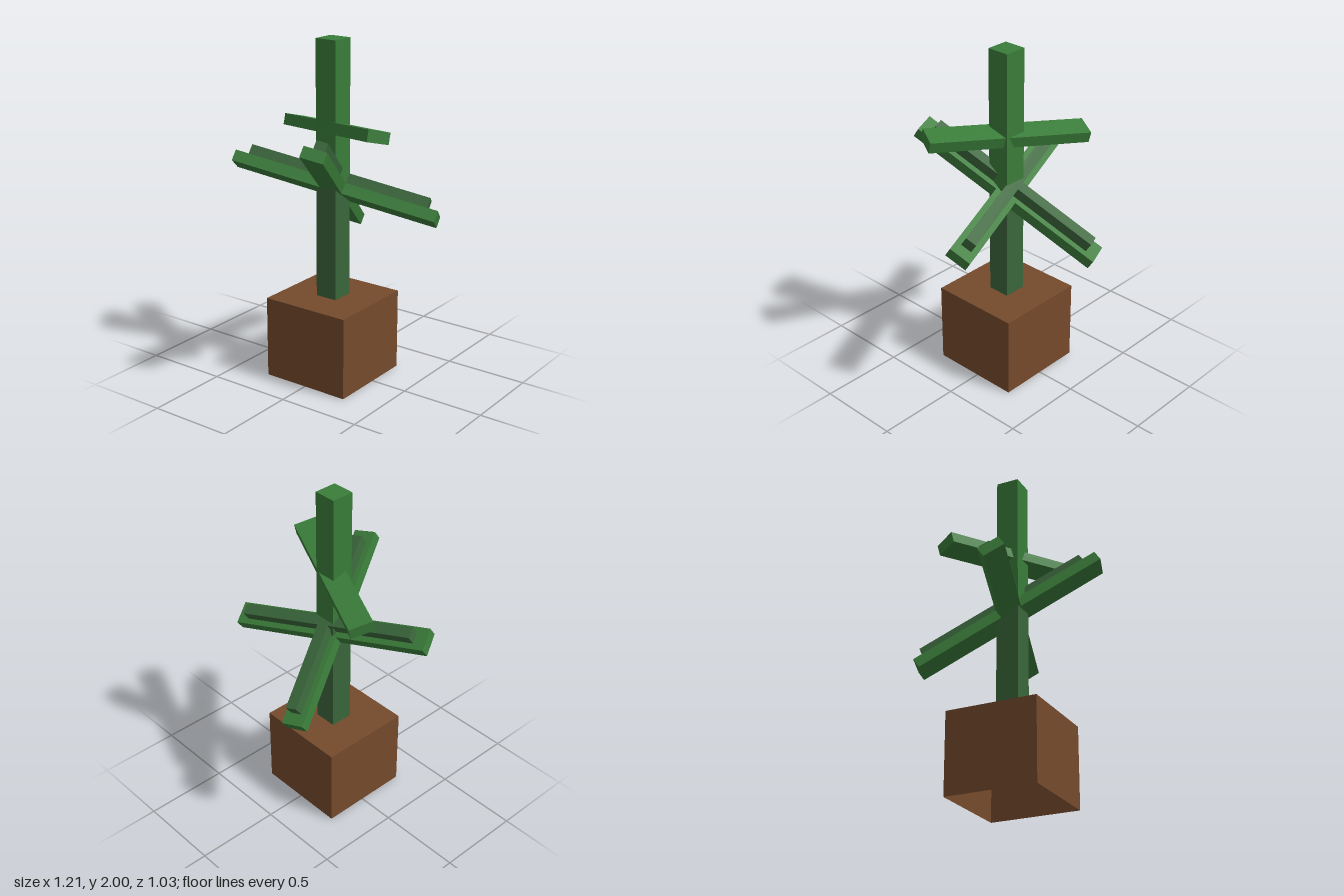
import * as THREE from 'three';

const mat = (name, color, side = THREE.FrontSide) => {
  const m = new THREE.MeshStandardMaterial({ color, side });
  m.name = name;
  return m;
};

export function createModel() {
  const model = new THREE.Group();
  model.name = 'pottedBeamTree';

  const leafGreen = mat('leaf green', 0x3a7d3a);
  const mossGreen = mat('moss green', 0x3a663b);
  const potBrown = mat('pot brown', 0x754a2c, THREE.DoubleSide);

  const deg = THREE.MathUtils.degToRad;
  const trunkZ = 0.017;

  const box = (parent, name, material, size, pos = [0, 0, 0]) => {
    const mesh = new THREE.Mesh(new THREE.BoxGeometry(...size), material);
    mesh.name = name;
    mesh.position.set(...pos);
    parent.add(mesh);
    return mesh;
  };

  // A layer of branches: turned about y, then tipped up towards the front
  const layer = (name, y, z, tilt, turn) => {
    const group = new THREE.Group();
    group.name = name;
    group.position.set(0, y, z);
    group.rotation.set(-deg(tilt), deg(turn), 0);
    model.add(group);
    return group;
  };

  // Pot: a cube shell without its underside
  const pot = box(model, 'pot', potBrown, [0.55, 0.488, 0.55], [0, 0.244, 0.019]);
  const faces = Array.from(pot.geometry.index.array);
  faces.splice(18, 6);
  pot.geometry.setIndex(faces);
  pot.geometry.clearGroups();

  // Trunk in two tones
  const split = 1.18;
  const trunk = (name, material, y0, y1) =>
    box(model, name, material, [0.137, y1 - y0, 0.137], [0, (y0 + y1) / 2, trunkZ]);
  trunk('lowerTrunk', mossGreen, 0.488, split);
  trunk('upperTrunk', leafGreen, split, 2);

  // Lower branches: a wide cross with a narrow cross lying on top
  const lower = layer('lowerBranches', 1.134, 0.002, 35, 20);
  const cross = (name, material, length, width, y) => {
    box(lower, name + 'Across', material, [length, 0.067, width], [0, y, 0]);
    box(lower, name + 'Along', material, [width, 0.067, length], [0, y, 0]);
  };
  cross('wideBranch', leafGreen, 1.24, 0.135, 0);
  cross('narrowBranch', mossGreen, 1.1, 0.067, 0.067);

  // Upper branch: a single beam
  const upper = layer('upperBranches', 1.488, 0.008, 15, -25);
  box(upper, 'upperBranch', leafGreen, [0.965, 0.067, 0.138]);

  return model;
}
